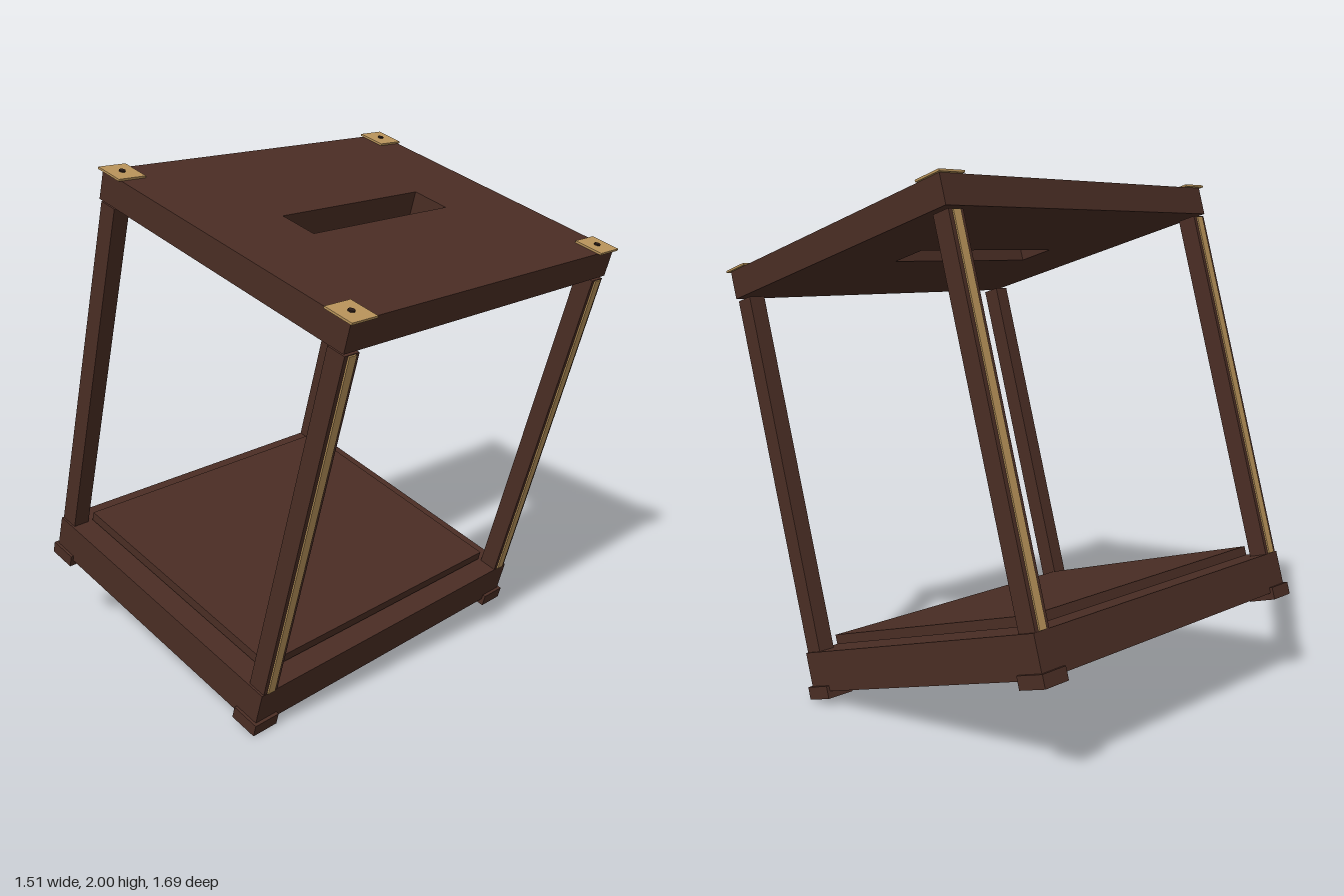
import * as THREE from 'three';

export function createModel() {
  const model = new THREE.Group();
  model.name = 'tiltedFrame';

  const wood = new THREE.MeshStandardMaterial({ name: 'dark brown wood', color: 0x4a2d24 });
  const brass = new THREE.MeshStandardMaterial({ name: 'brass', color: 0xb8935a });
  const screwMetal = new THREE.MeshStandardMaterial({ name: 'dark screw metal', color: 0x2a1b15 });

  // The whole stand leans forward about the x axis
  const frame = new THREE.Group();
  frame.name = 'leaningFrame';
  frame.rotation.x = THREE.MathUtils.degToRad(15.9);
  model.add(frame);

  // Box given by its limits on each axis
  function box(name, material, [x0, x1], [y0, y1], [z0, z1]) {
    const mesh = new THREE.Mesh(new THREE.BoxGeometry(x1 - x0, y1 - y0, z1 - z0), material);
    mesh.position.set((x0 + x1) / 2, (y0 + y1) / 2, (z0 + z1) / 2);
    mesh.name = name;
    frame.add(mesh);
    return mesh;
  }

  const midZ = -0.278;            // centre of the frame in depth
  const halfW = 0.745, halfD = 0.62;
  const back = midZ - halfD, front = midZ + halfD;
  const width = [-halfW, halfW];

  // Base and the raised floor panel just above it
  box('base', wood, width, [0.128, 0.282], [back, front]);
  box('floorPanel', wood, [-0.652, 0.652], [0.291, 0.328], [midZ - 0.536, midZ + 0.536]);

  // Top made of two boards and two end blocks around a handle slot
  const topY = [1.703, 1.813];
  const slot = [midZ - 0.078, midZ + 0.078];
  box('topBoardFront', wood, width, topY, [slot[1], front]);
  box('topBoardBack', wood, width, topY, [back, slot[0]]);
  box('topBlockLeft', wood, [0.366, halfW], topY, slot);
  box('topBlockRight', wood, [-halfW, -0.366], topY, slot);

  // Four corners: foot, post, brass strip, brass plate and screw
  for (const sx of [-1, 1]) {
    for (const sz of [-1, 1]) {
      const corner = (sz > 0 ? 'Front' : 'Back') + (sx > 0 ? 'Left' : 'Right');
      const xs = (a, b) => (sx > 0 ? [a, b] : [-b, -a]);
      const zs = (a, b) => (sz > 0 ? [midZ + a, midZ + b] : [midZ - b, midZ - a]);

      box('foot' + corner, wood, xs(0.64, 0.757), [0.101, 0.15], zs(0.515, 0.633));
      box('post' + corner, wood, xs(0.667, 0.736), [0.282, 1.693], zs(0.543, 0.619));
      box('strip' + corner, brass, xs(0.684, 0.719), [0.283, 1.69], zs(0.618, 0.625));
      box('cornerPlate' + corner, brass, xs(0.637, 0.757), [1.813, 1.821], zs(0.513, 0.633));

      const screw = new THREE.Mesh(new THREE.CylinderGeometry(0.012, 0.012, 0.008, 16), screwMetal);
      screw.name = 'screw' + corner;
      screw.position.set(sx * 0.697, 1.822, midZ + sz * 0.573);
      frame.add(screw);
    }
  }

  return model;
}
